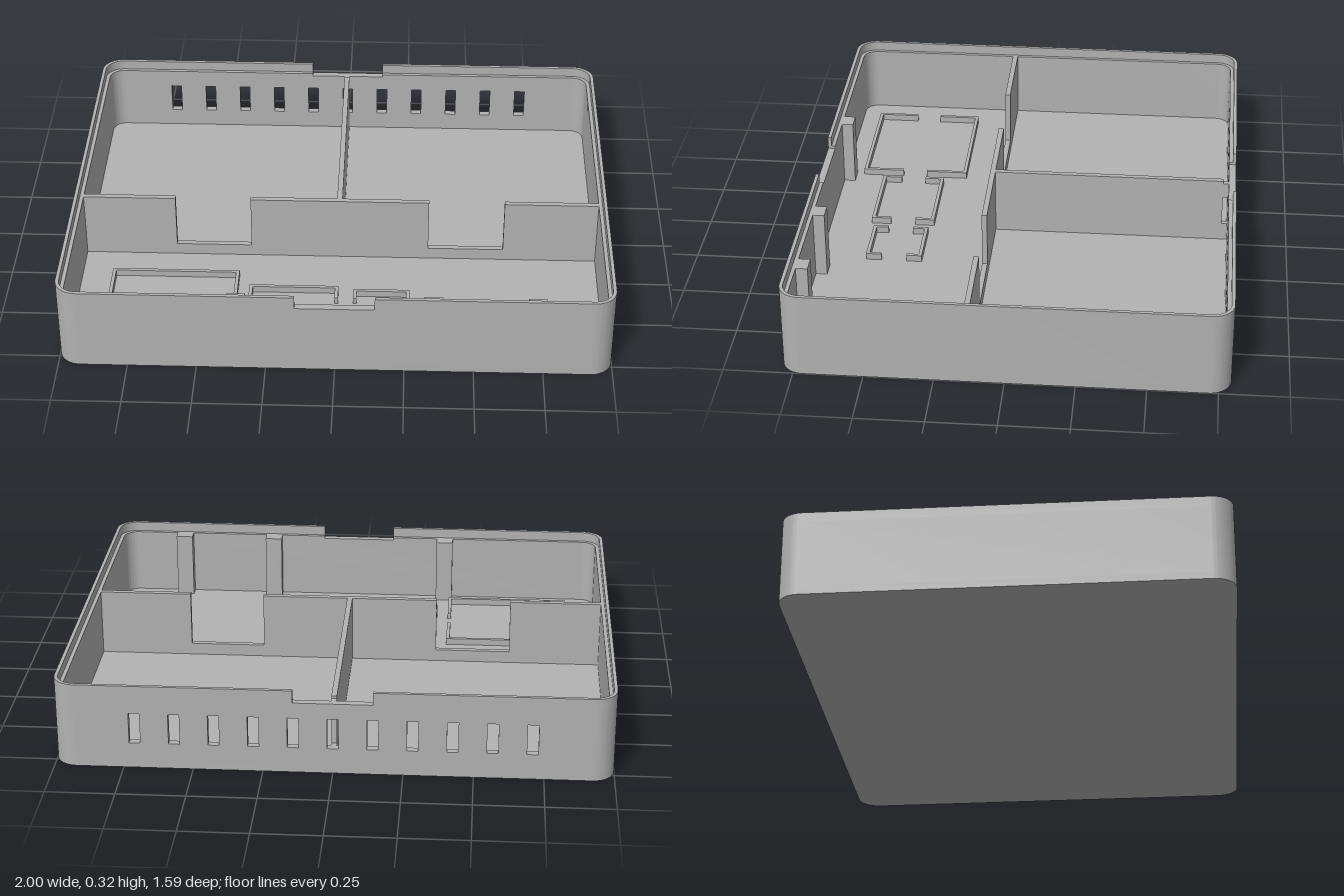
import * as THREE from 'three';
import { toCreasedNormals } from 'three/addons/utils/BufferGeometryUtils.js';

const X = 1, Z = 0.795, R = 0.08;             // half width, half depth, corner radius
const WALL = 0.027, LIP = 0.013, FLOOR = 0.027;
const LEDGE = 0.283, TOP = 0.32;
const NOTCH = 0.1425, NOTCH_Y = 0.273;        // finger notch half width and bottom
const SLOT_LOW = 0.097, SLOT_HIGH = 0.213;

export function createModel() {
  const model = new THREE.Group();
  model.name = 'compartmentTray';
  const grey = new THREE.MeshStandardMaterial({ color: 0xb2b2b2 });
  grey.name = 'grey plastic';

  const add = (name, geometry, parent = model) => {
    const mesh = new THREE.Mesh(geometry, grey);
    mesh.name = name;
    parent.add(mesh);
    return mesh;
  };
  // box given by its limits
  const block = (name, x0, x1, y0, y1, z0, z1, parent) => {
    const g = new THREE.BoxGeometry(x1 - x0, y1 - y0, z1 - z0);
    g.translate((x0 + x1) / 2, (y0 + y1) / 2, (z0 + z1) / 2);
    return add(name, g, parent);
  };
  const extrude = (shape, depth) => toCreasedNormals(
    new THREE.ExtrudeGeometry(shape, { depth, bevelEnabled: false, curveSegments: 10 }), 0.5);
  // plan outline raised from y0 to y1
  const raise = (shape, y0, y1) => extrude(shape, y1 - y0).rotateX(-Math.PI / 2).translate(0, y0, 0);
  const polygon = (points) => new THREE.Shape(points.map(([a, b]) => new THREE.Vector2(a, b)));

  const cx = X - R, cz = Z - R, q = Math.PI / 2;

  // floor plate
  const plate = new THREE.Shape();
  plate.absarc(cx, cz, R, 0, q);
  plate.absarc(-cx, cz, R, q, 2 * q);
  plate.absarc(-cx, -cz, R, 2 * q, 3 * q);
  plate.absarc(cx, -cz, R, 3 * q, 4 * q);
  add('floor', raise(plate, 0, FLOOR));

  // side walls with rounded corners, and the thin lip above them
  const endShape = (thickness) => {
    const s = new THREE.Shape();
    s.absarc(cx, -cz, R, -q, 0);
    s.absarc(cx, cz, R, 0, q);
    s.absarc(cx, cz, R - thickness, q, 0, true);
    s.absarc(cx, -cz, R - thickness, 0, -q, true);
    s.closePath();
    return s;
  };
  for (const [side, turn] of [['left', 0], ['right', Math.PI]]) {
    add(side + 'Wall', raise(endShape(WALL), FLOOR, LEDGE)).rotation.y = turn;
    add(side + 'Lip', raise(endShape(LIP), LEDGE, TOP)).rotation.y = turn;
  }

  // front and back walls with a finger notch; the back one has vent slots
  const longWall = () => polygon([
    [-cx, FLOOR], [cx, FLOOR], [cx, LEDGE], [NOTCH, LEDGE], [NOTCH, NOTCH_Y],
    [-NOTCH, NOTCH_Y], [-NOTCH, LEDGE], [-cx, LEDGE]]);
  add('frontWall', extrude(longWall(), WALL).translate(0, 0, Z - WALL));
  const back = longWall();
  for (let i = -5; i <= 5; i++) {
    const x = i * 0.1415, w = 0.02;
    back.holes.push(polygon([[x - w, SLOT_LOW], [x - w, SLOT_HIGH], [x + w, SLOT_HIGH], [x + w, SLOT_LOW]]));
  }
  add('backWall', extrude(back, WALL).translate(0, 0, -Z));
  for (const [x0, x1] of [[-cx, -NOTCH], [NOTCH, cx]]) {
    block('frontLip', x0, x1, LEDGE, TOP, Z - LIP, Z);
    block('backLip', x0, x1, LEDGE, TOP, -Z, -Z + LIP);
  }

  // long divider with two deep openings
  const ix = X - WALL, iz = Z - WALL, sill = 0.073;
  const cross = polygon([
    [-ix, FLOOR], [ix, FLOOR], [ix, LEDGE], [0.62, LEDGE], [0.62, sill], [0.335, sill], [0.335, LEDGE],
    [-0.34, LEDGE], [-0.34, sill], [-0.625, sill], [-0.625, LEDGE], [-ix, LEDGE]]);
  add('longDivider', extrude(cross, 0.02).translate(0, 0, 0.124));

  // short divider, relieved behind the notch and the middle slot
  const cut = -iz + 0.02;
  const short = polygon([
    [-iz, FLOOR], [0.124, FLOOR], [0.124, LEDGE], [cut, LEDGE], [cut, NOTCH_Y], [-iz, NOTCH_Y],
    [-iz, SLOT_HIGH], [cut, SLOT_HIGH], [cut, SLOT_LOW], [-iz, SLOT_LOW]]);
  add('shortDivider', extrude(short, 0.02).rotateY(-q).translate(0.0075, 0, 0));

  // ribs on the inside of the front wall
  for (const x of [-0.355, 0.352, 0.723]) {
    block('rib', x - 0.033, x + 0.033, FLOOR, LEDGE, 0.725, iz);
  }

  // low component frames, each with a gap in both sides
  const t = 0.013, h = 0.052;
  for (const [x0, x1, z0, z1] of [
    [-0.857, -0.377, 0.28, 0.695], [-0.334, 0, 0.366, 0.61], [0.056, 0.267, 0.382, 0.594]]) {
    const frame = new THREE.Group();
    frame.name = 'componentFrame';
    model.add(frame);
    block('frameBack', x0, x1, FLOOR, h, z0, z0 + t, frame);
    block('frameFront', x0, x1, FLOOR, h, z1 - t, z1, frame);
    for (const x of [x0, x1 - t]) {
      block('frameSide', x, x + t, FLOOR, h, z0 + t, 0.44, frame);
      block('frameSide', x, x + t, FLOOR, h, 0.535, z1 - t, frame);
    }
  }
  return model;
}
